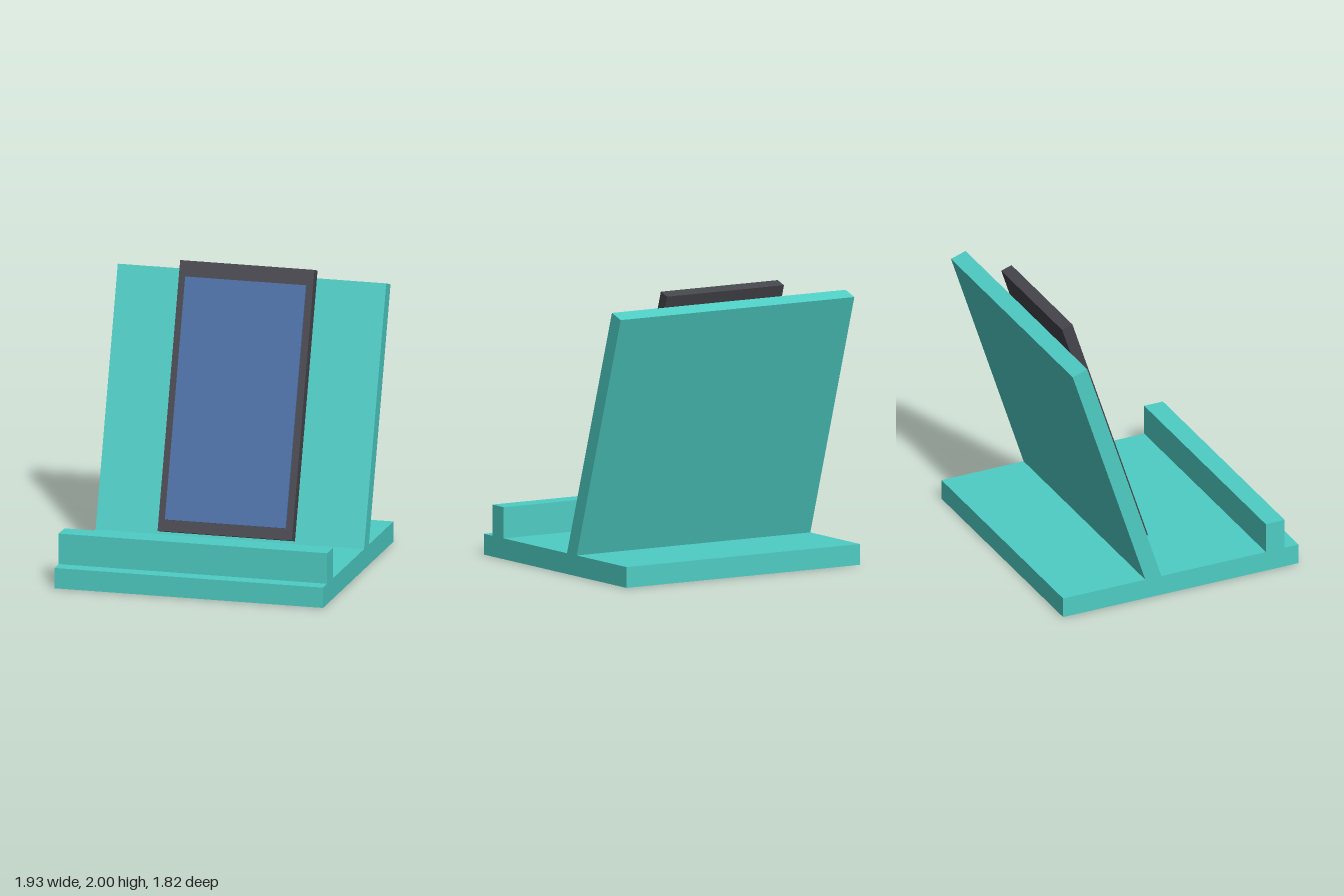
import * as THREE from 'three';

const TILT = -Math.PI / 10; // lean-back angle shared by the rest and the phone

export function createModel() {
  const model = new THREE.Group();
  model.name = 'phoneStand';

  const teal = new THREE.MeshStandardMaterial({ color: 0x4ecdc4 });
  const dark = new THREE.MeshStandardMaterial({ color: 0x45454c });
  const blue = new THREE.MeshStandardMaterial({ color: 0x4a6fa5 });

  function box(parent, name, material, [w, h, d], [x, y, z], tilt = 0) {
    const mesh = new THREE.Mesh(new THREE.BoxGeometry(w, h, d), material);
    mesh.name = name;
    mesh.position.set(x, y, z);
    mesh.rotation.x = tilt;
    parent.add(mesh);
    return mesh;
  }

  // Stand: base plate, front lip and leaning rest (its foot sinks into the base)
  const width = 1.934;
  box(model, 'base', teal, [width, 0.146, 1.816], [0, 0.073, 0]);
  box(model, 'frontLip', teal, [width, 0.24, 0.145], [0, 0.245, 0.728]);
  box(model, 'backRest', teal, [width, 1.93, 0.118], [0, 0.971, -0.48], TILT);

  // Phone: body with a slightly raised screen, leaning parallel to the rest
  const phone = new THREE.Group();
  phone.name = 'phone';
  phone.position.set(0, 1.09, -0.35);
  phone.rotation.x = TILT;
  box(phone, 'phoneBody', dark, [0.968, 1.887, 0.083], [0, 0, 0]);
  box(phone, 'phoneScreen', blue, [0.87, 1.694, 0.024], [0, -0.015, 0.043]);
  model.add(phone);

  return model;
}
